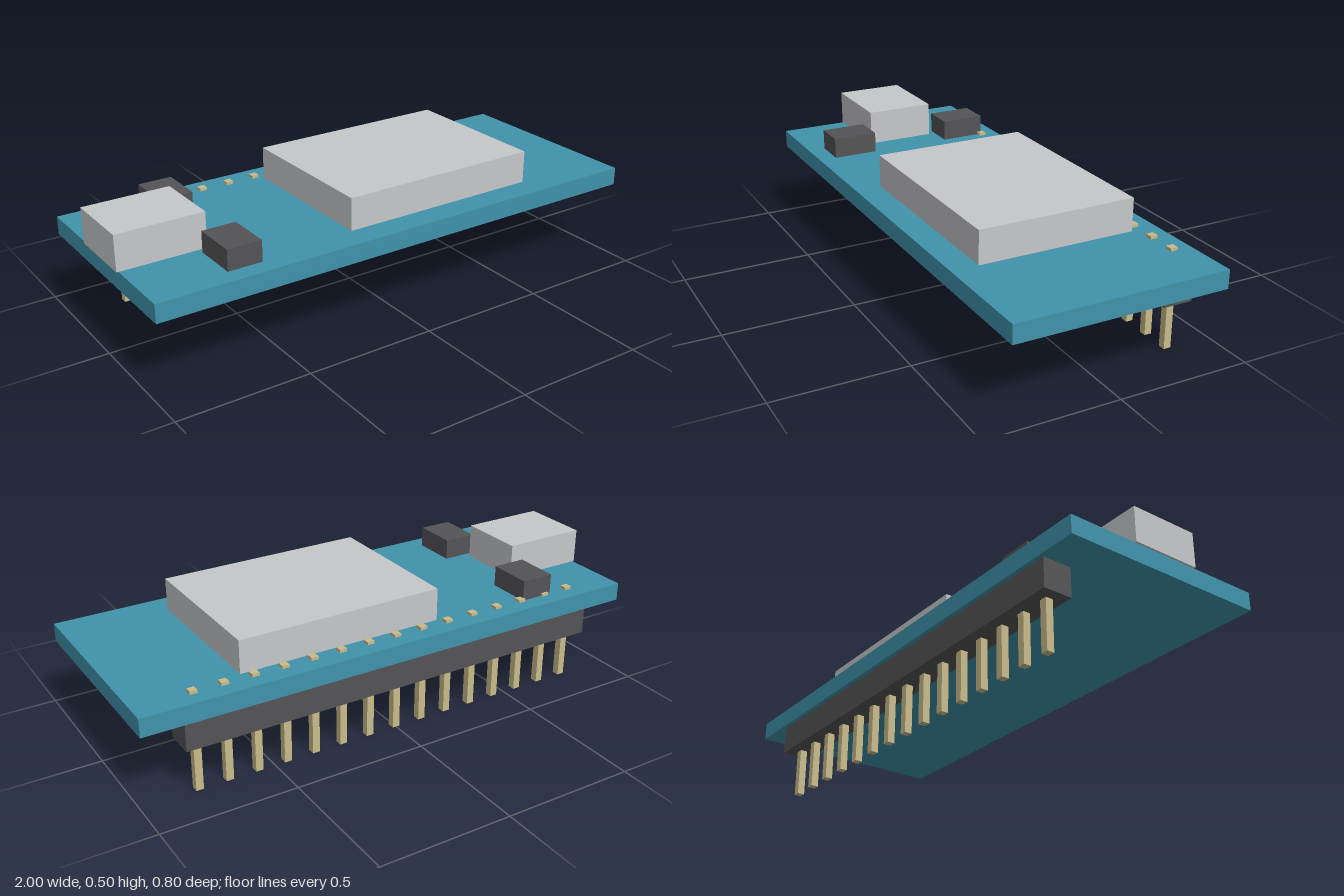
import * as THREE from 'three';

function material(name, color) {
  const m = new THREE.MeshStandardMaterial({ color });
  m.name = name;
  return m;
}

export function createModel() {
  const model = new THREE.Group();
  model.name = 'microcontrollerBoard';

  const teal = material('boardTeal', 0x4093ab);
  const silver = material('metalSilver', 0xc6c7c9);
  const dark = material('plasticDark', 0x545456);
  const brass = material('pinBrass', 0xc8bb8a);

  // Box given by its [min, max] extents on each axis
  function block(name, mat, [x0, x1], [y0, y1], [z0, z1], parent = model) {
    const mesh = new THREE.Mesh(new THREE.BoxGeometry(x1 - x0, y1 - y0, z1 - z0), mat);
    mesh.position.set((x0 + x1) / 2, (y0 + y1) / 2, (z0 + z1) / 2);
    mesh.name = name;
    parent.add(mesh);
  }

  const under = 0.297, top = 0.366;

  // Circuit board
  block('circuitBoard', teal, [-0.993, 0.998], [under, top], [-0.398, 0.398]);

  // Shielded module and the socket overhanging the left edge
  block('shieldCan', silver, [-0.197, 0.599], [top, 0.49], [-0.298, 0.298]);
  block('usbSocket', silver, [-1, -0.671], [top, 0.499], [-0.133, 0.133]);

  // Push buttons either side of the socket
  block('backButton', dark, [-0.702, -0.572], [top, 0.445], [-0.331, -0.159]);
  block('frontButton', dark, [-0.702, -0.572], [top, 0.445], [0.157, 0.331]);

  // Header strip under the back edge
  block('headerStrip', dark, [-0.841, 0.841], [0.187, under], [-0.382, -0.271]);

  // Square pins passing through header and board
  const pins = new THREE.Group();
  pins.name = 'headerPins';
  model.add(pins);
  const count = 15, pitch = 0.1122, half = 0.014;
  for (let i = 0; i < count; i++) {
    const x = (i - (count - 1) / 2) * pitch;
    block('pin', brass, [x - half, x + half], [0, 0.377], [-0.341, -0.313], pins);
  }

  return model;
}
